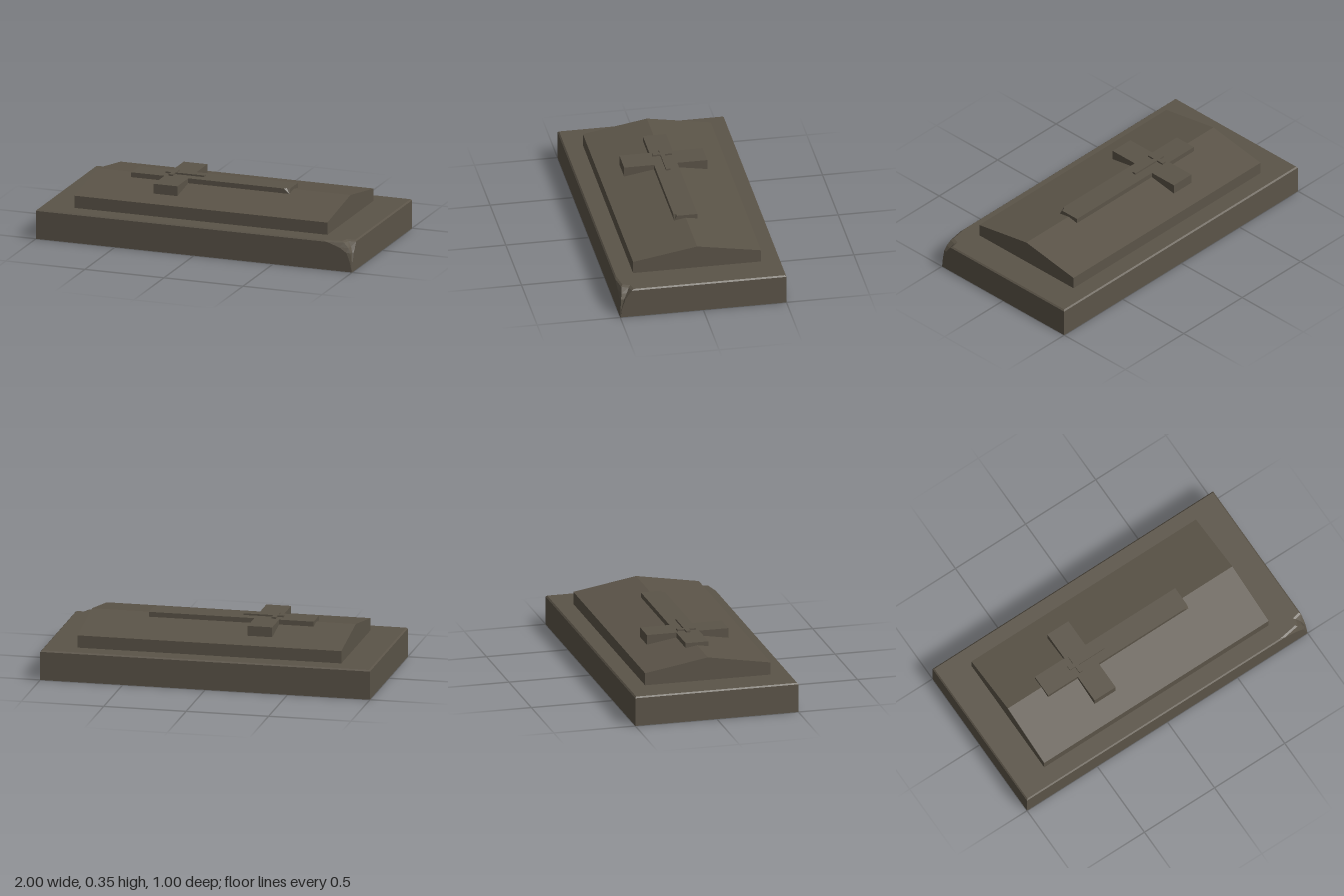
import * as THREE from 'three';

const stone = new THREE.MeshStandardMaterial({ color: 0x5b5448, side: THREE.DoubleSide });
stone.name = 'weathered stone';

// Loops are [x, z] points, counter-clockwise seen from above.
const at = (loop, y) => loop.map(([x, z]) => [x, typeof y === 'function' ? y(z) : y, z]);

// Faceted walls joining closed loops of [x, y, z], bottom to top
function walls(name, loops) {
  const pos = [];
  for (let k = 0; k + 1 < loops.length; k++) {
    const lo = loops[k], hi = loops[k + 1], n = lo.length;
    for (let i = 0; i < n; i++) {
      const j = (i + 1) % n;
      pos.push(...lo[i], ...lo[j], ...hi[j], ...lo[i], ...hi[j], ...hi[i]);
    }
  }
  const g = new THREE.BufferGeometry();
  g.setAttribute('position', new THREE.Float32BufferAttribute(pos, 3));
  return finish(name, g);
}

// Upward-facing plate with an optional hole, its height given by a number or a rule of z
function plate(name, outline, y, hole) {
  const flat = (loop) => loop.map(([x, z]) => new THREE.Vector2(x, -z));
  const shape = new THREE.Shape(flat(outline));
  if (hole) shape.holes.push(new THREE.Path(flat(hole)));
  const g = new THREE.ShapeGeometry(shape).rotateX(-Math.PI / 2).toNonIndexed();
  const p = g.attributes.position;
  for (let i = 0; i < p.count; i++) p.setY(i, typeof y === 'function' ? y(p.getZ(i)) : y);
  return finish(name, g);
}

function finish(name, g) {
  g.computeVertexNormals();
  const m = new THREE.Mesh(g, stone);
  m.name = name;
  return m;
}

// Cross lying along x; the last three of its right end corners may be chipped
function crossLoop(x0, x1, w, b0, b1, s, chip = 0) {
  return [
    [x0, 0], [x0, w], [b0, w], [b0, s], [b1, s], [b1, w],
    [x1 - chip, w], [x1 - chip * 0.6, w - chip * 0.4], [x1, w - chip * 0.5],
    [x1, 0], [x1, -w], [b1, -w], [b1, -s], [b0, -s], [b0, -w], [x0, -w],
  ];
}

// Base outline, inset by e, with the front left corner broken off by a along x and d along z
function baseLoop(e, a, d) {
  const x = 1 - e, z = 0.5 - e;
  return [
    [-x, z], [x - a, z], [x - a * 0.36, z - d * 0.25], [x - a * 0.28, z - d * 0.85],
    [x, z - d], [x, -z], [-x, -z],
  ];
}

export function createModel() {
  const group = new THREE.Group();
  group.name = 'tombstone';
  const roof = (z) => 0.32 - 0.065 * Math.abs(z) / 0.385;

  // Hollow base, with a thin bevel and a chipped corner
  const rim = baseLoop(0.008, 0.18, 0.075);
  const slab = [[-0.8, 0], [-0.8, 0.385], [0.8, 0.385], [0.8, 0], [0.8, -0.385], [-0.8, -0.385]];
  group.add(walls('base', [
    at(baseLoop(0, 0.002, 0.002), 0),
    at(baseLoop(0, 0.015, 0.012), 0.06),
    at(baseLoop(0, 0.035, 0.03), 0.115),
    at(baseLoop(0, 0.08, 0.05), 0.145),
    at(baseLoop(0, 0.16, 0.07), 0.172),
    at(rim, 0.18),
  ]));
  group.add(plate('baseTop', rim, 0.18, slab));

  // Gabled slab, its roof open beneath the cross
  group.add(walls('slabSides', [at(slab, 0.18), at(slab, roof)]));
  for (const s of [1, -1]) {
    const half = [
      [-0.8, 0], [-0.56, 0], [-0.56, 0.07], [-0.35, 0.07], [-0.35, 0.25], [-0.2, 0.25],
      [-0.2, 0.07], [0.44, 0.07], [0.44, 0], [0.8, 0], [0.8, 0.385], [-0.8, 0.385],
    ].map(([x, z]) => [x, s * z]);
    group.add(plate(s > 0 ? 'frontRoof' : 'backRoof', half, roof));
  }

  // Large cross, chipped at its foot
  const foot = crossLoop(-0.56, 0.44, 0.07, -0.35, -0.2, 0.25);
  const crossTop = crossLoop(-0.56, 0.44, 0.07, -0.35, -0.2, 0.25, 0.035);
  const small = crossLoop(-0.365, -0.12, 0.013, -0.328, -0.302, 0.058);
  // The chip repeats a corner point, so drop duplicates from the hole
  const hole = small.filter((p, i) => i !== 7 && i !== 8);
  group.add(walls('crossSides', [at(foot, roof), at(crossTop, 0.338)]));
  group.add(plate('crossTop', crossTop, 0.338, hole));

  // Small raised cross
  group.add(walls('smallCrossSides', [at(hole, 0.338), at(hole, 0.348)]));
  group.add(plate('smallCrossTop', hole, 0.348));
  return group;
}
